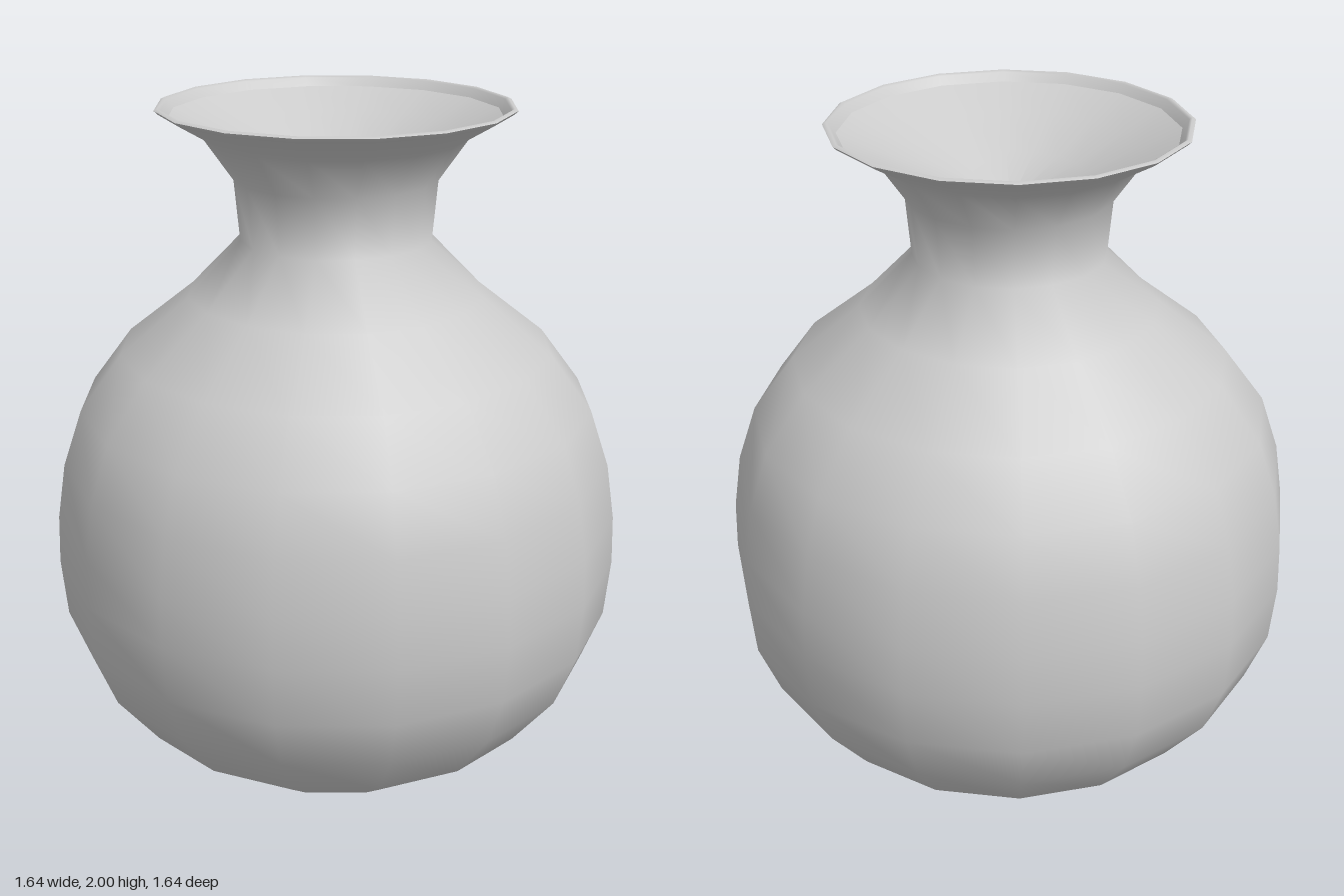
import * as THREE from 'three';

const SIDES = 16;

// Smooth turned part from [radius, height] pairs
function turned(name, profile, material) {
  const points = profile.map(([r, y]) => new THREE.Vector2(r, y));
  const mesh = new THREE.Mesh(new THREE.LatheGeometry(points, SIDES), material);
  mesh.name = name;
  return mesh;
}

export function createModel() {
  const group = new THREE.Group();
  group.name = 'vase';
  const material = new THREE.MeshStandardMaterial({ color: 0xcccccc });

  // Round belly, narrow neck and flared lip
  group.add(turned('body', [
    [0, 0], [0.26, 0.03], [0.445, 0.09], [0.62, 0.215], [0.745, 0.375],
    [0.805, 0.53], [0.82, 0.7], [0.815, 0.84], [0.79, 1.0], [0.735, 1.16],
    [0.615, 1.32], [0.42, 1.475], [0.27, 1.63], [0.285, 1.8],
    [0.365, 1.915], [0.485, 1.985], [0.495, 1.995],
  ], material));

  // Thin rim edge
  group.add(turned('rim', [[0.495, 1.995], [0.485, 2], [0.477, 1.995], [0.46, 1.972]], material));

  // Shallow funnel closing the mouth
  group.add(turned('mouth', [[0.46, 1.972], [0.35, 1.92], [0.2, 1.85], [0, 1.77]], material));

  return group;
}
